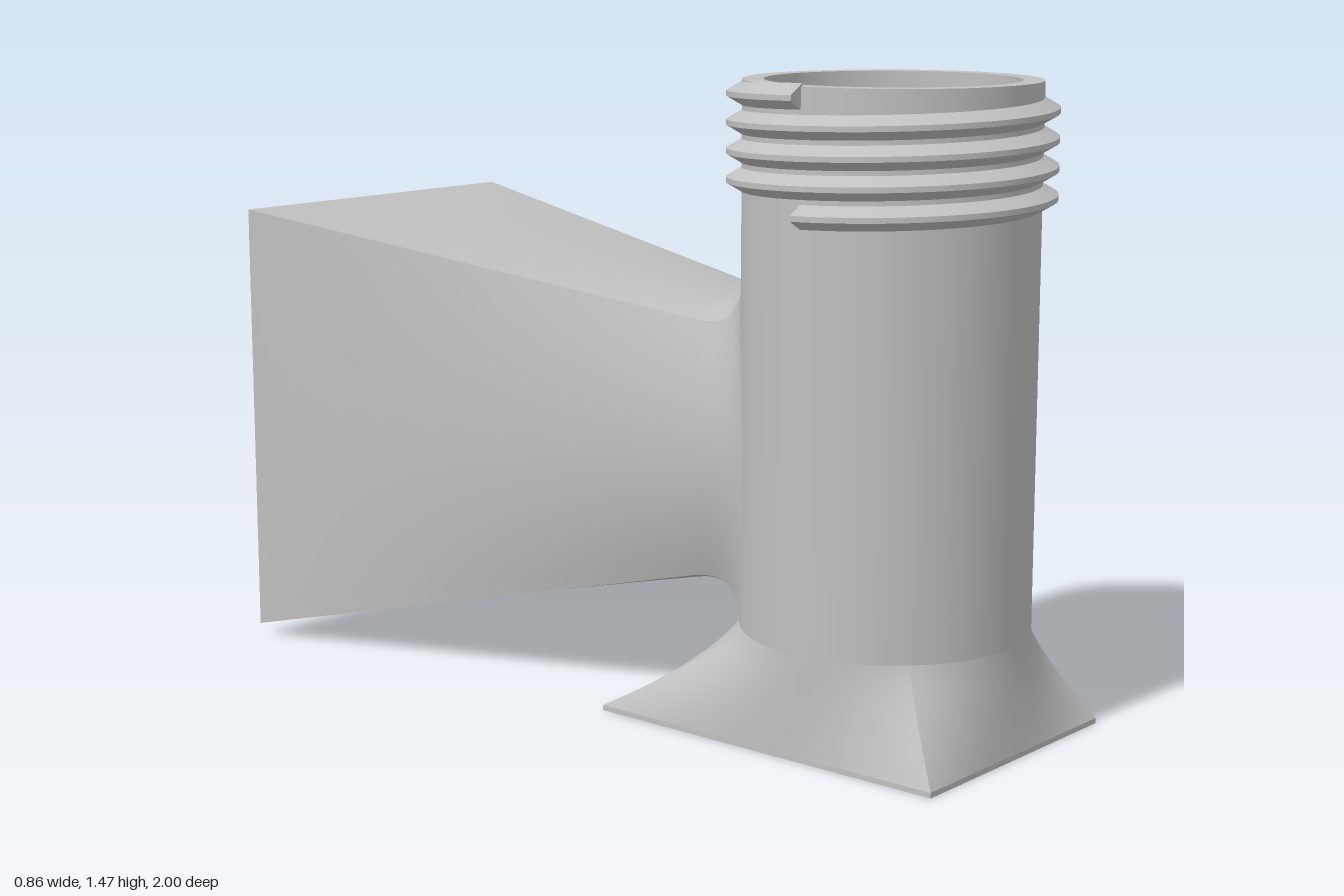
import * as THREE from 'three';

const R = 0.327, RI = 0.28, CZ = 0.64, TOP = 1.46, JOIN = 0.24;
const SEG = 80, STEP = 2 * Math.PI / SEG;
const lerp = THREE.MathUtils.lerp;
const V = (x, y, z) => new THREE.Vector3(x, y, z);

// Surface from a rule p(u, v); it faces along du x dv
function grid(p, nu, nv) {
  const pos = [], idx = [];
  for (let j = 0; j <= nv; j++)
    for (let i = 0; i <= nu; i++) pos.push(...p(i / nu, j / nv).toArray());
  for (let j = 0; j < nv; j++)
    for (let i = 0; i < nu; i++) {
      const a = j * (nu + 1) + i, b = a + 1, c = a + nu + 1, d = c + 1;
      idx.push(a, b, d, a, d, c);
    }
  const g = new THREE.BufferGeometry();
  g.setAttribute('position', new THREE.Float32BufferAttribute(pos, 3));
  g.setIndex(idx);
  g.computeVertexNormals();
  return g;
}

// Point on side k of a square with half-size 1, and its partner on the unit circle
function square(k, u) {
  const s = 2 * u - 1;
  return [[s, 1], [1, -s], [-s, -1], [-1, s]][k];
}
function circle(k, u) {
  const t = (k + (2 * u - 1) / 2) * Math.PI / 2;
  return [Math.sin(t), Math.cos(t)];
}

export function createModel() {
  const model = new THREE.Group();
  const grey = new THREE.MeshStandardMaterial({ color: 0xc0c0c0, side: THREE.DoubleSide });
  grey.name = 'light grey';
  const part = (name) => {
    const g = new THREE.Group();
    g.name = name;
    model.add(g);
    return (geo) => {
      const m = new THREE.Mesh(geo, grey);
      m.name = name + 'Surface';
      g.add(m);
    };
  };

  // Upright tube, with an opening at the back for the horn
  const tube = part('tube');
  const OX = RI * Math.sin(8 * STEP), OY0 = 0.39, OY1 = 0.855;
  const wall = (r, y0, y1, cut) => {
    const g = new THREE.CylinderGeometry(r, r, y1 - y0, SEG - 2 * cut, 1, true,
      Math.PI + cut * STEP, (SEG - 2 * cut) * STEP);
    g.translate(0, (y0 + y1) / 2, CZ);
    if (r === RI) {
      // inner wall faces the axis
      g.index.array.reverse();
      g.computeVertexNormals();
    }
    tube(g);
  };
  for (const [r, cut] of [[R, 7], [RI, 8]]) {
    wall(r, JOIN, OY0, 0);
    wall(r, OY0, OY1, cut);
    wall(r, OY1, TOP, 0);
  }
  tube(new THREE.RingGeometry(RI, R, SEG).rotateX(-Math.PI / 2).translate(0, TOP, CZ));

  // Screw thread: four rising turns
  const thread = part('thread');
  const TURNS = 4, PITCH = 0.0625;
  const prof = [[0.322, -0.029], [0.361, -0.006], [0.361, 0.006], [0.322, 0.029]];
  const helix = (turn, r, dy) => {
    const t = -Math.PI / 2 + turn * 2 * Math.PI;
    return V(r * Math.sin(t), 1.188 + PITCH * turn + dy, CZ + r * Math.cos(t));
  };
  for (let k = 0; k < 3; k++) {
    const [a, b] = [prof[k], prof[k + 1]];
    thread(grid((u, v) => helix(TURNS * u, lerp(a[0], b[0], v), lerp(a[1], b[1], v)), SEG * TURNS, 1));
  }
  for (const turn of [0, TURNS]) {
    thread(grid((u, v) => {
      const w = turn ? 1 - u : u;
      const q = prof[w > 0.5 ? (v > 0.5 ? 2 : 1) : (v > 0.5 ? 3 : 0)];
      return helix(turn, q[0], q[1]);
    }, 1, 1));
  }

  // Flared rectangular foot, outside and inside
  const foot = part('foot');
  const outer = { x: 0.328, d: 0.458, z: 0.54, r: R };
  const inner = { x: 0.15, d: 0.265, z: 0.527, r: RI };
  const EDGE = 0.012, LIP = 0.06;
  const blend = (k, u, f, s, y) => {
    const [a, b] = square(k, u), [c, d] = circle(k, u);
    return V(lerp(s.r * c, a * s.x, f), y, lerp(CZ + s.r * d, s.z + b * s.d, f));
  };
  for (let k = 0; k < 4; k++) {
    foot(grid((u, v) => blend(k, u, Math.pow(1 - v, 1.25), outer, lerp(EDGE, JOIN, v)), SEG / 4, 14));
    foot(grid((u, v) => blend(k, u, 1, outer, EDGE * v), 1, 1));
    foot(grid((u, v) => blend(k, u, v, inner, lerp(JOIN, LIP, v)), SEG / 4, 8));
    foot(grid((u, v) => blend(k, u, 1, inner, LIP * (1 - v)), 1, 1));
    // underside around the opening
    foot(grid((u, v) => blend(k, u, 1, inner, 0).lerp(blend(k, u, 1, outer, 0), v), 1, 1));
  }

  // Horn flaring to a rectangular mouth at the back
  const horn = part('horn');
  const MY = 0.56, MX = 0.43, MH = 0.53, NY = 0.62, NZ = 0.3, T = 0.06;
  const onTube = (x, r) => CZ - Math.sqrt(r * r - x * x);
  for (let k = 0; k < 4; k++) {
    // outer skin: fillet on the tube, then straight to the mouth
    horn(grid((u, v) => {
      const [a, b] = square(k, u);
      const rim = V(a * MX, MY + b * MH, -1);
      const neck = V(a * (0.175 + 0.065 * (1 - b * b)), NY + b * (0.285 + 0.025 * (1 - a * a)), NZ);
      const along = (z) => rim.clone().lerp(neck, (z + 1) / (NZ + 1));
      const kz = onTube(neck.x, R);
      const P = along(kz - 0.13);
      if (v > 0.6) return P.lerp(rim, (v - 0.6) / 0.4);
      const qx = neck.x * 1.14;
      const Q = V(qx, neck.y + 0.12 * b, onTube(qx, R));
      return new THREE.QuadraticBezierCurve3(Q, along(kz), P).getPoint(v / 0.6);
    }, 20, 20));
    // inner skin
    horn(grid((u, v) => {
      const [a, b] = square(k, u);
      const rim = V(a * (MX - T), MY + b * (MH - T), -1);
      const x = a * OX;
      return rim.lerp(V(x, (OY0 + OY1) / 2 + b * (OY1 - OY0) / 2, onTube(x, RI)), v);
    }, 16, 8));
    // mouth rim
    horn(grid((u, v) => {
      const [a, b] = square(k, u);
      return V(a * (MX - T * v), MY + b * (MH - T * v), -1);
    }, 1, 1));
  }
  return model;
}
